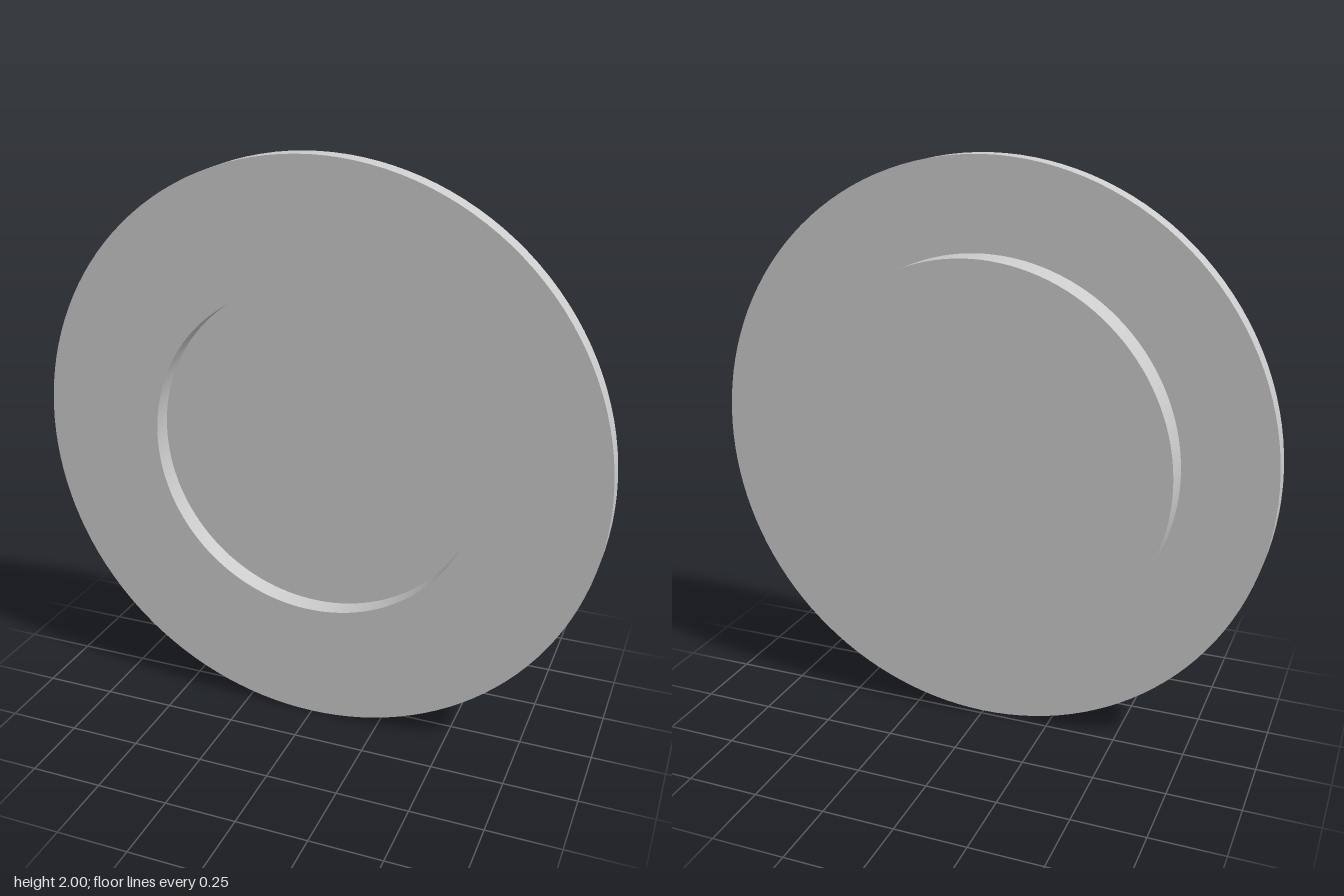
import * as THREE from 'three';
import { toCreasedNormals } from 'three/addons/utils/BufferGeometryUtils.js';

const SEGMENTS = 128;
const FRONT = 0.089, STEP = 0.018, BACK = -0.089;
const FLANGE_R = 1, HOLE_R = 0.58, HUB_R = 0.685;

export function createModel() {
  const group = new THREE.Group();
  group.name = 'flangedDisc';
  const material = new THREE.MeshStandardMaterial({ color: 0xcccccc });

  // Turned parts are made around y, then tipped so their axis faces +z
  const addPart = (name, geometry) => {
    geometry.rotateX(Math.PI / 2);
    const mesh = new THREE.Mesh(geometry, material);
    mesh.name = name;
    mesh.position.y = FLANGE_R;
    group.add(mesh);
    return mesh;
  };

  // Wide front ring with a round opening, left open where it sits on the hub
  const profile = [
    [HUB_R, STEP], [FLANGE_R, STEP], [FLANGE_R, FRONT], [HOLE_R, FRONT], [HOLE_R, STEP],
  ].map(([r, y]) => new THREE.Vector2(r, y));
  addPart('flangeRing', toCreasedNormals(new THREE.LatheGeometry(profile, SEGMENTS), 0.6));

  // Solid hub behind the ring; its front cap is the floor of the recess
  const hub = addPart('hub', new THREE.CylinderGeometry(HUB_R, HUB_R, STEP - BACK, SEGMENTS));
  hub.position.z = (STEP + BACK) / 2;

  return group;
}
